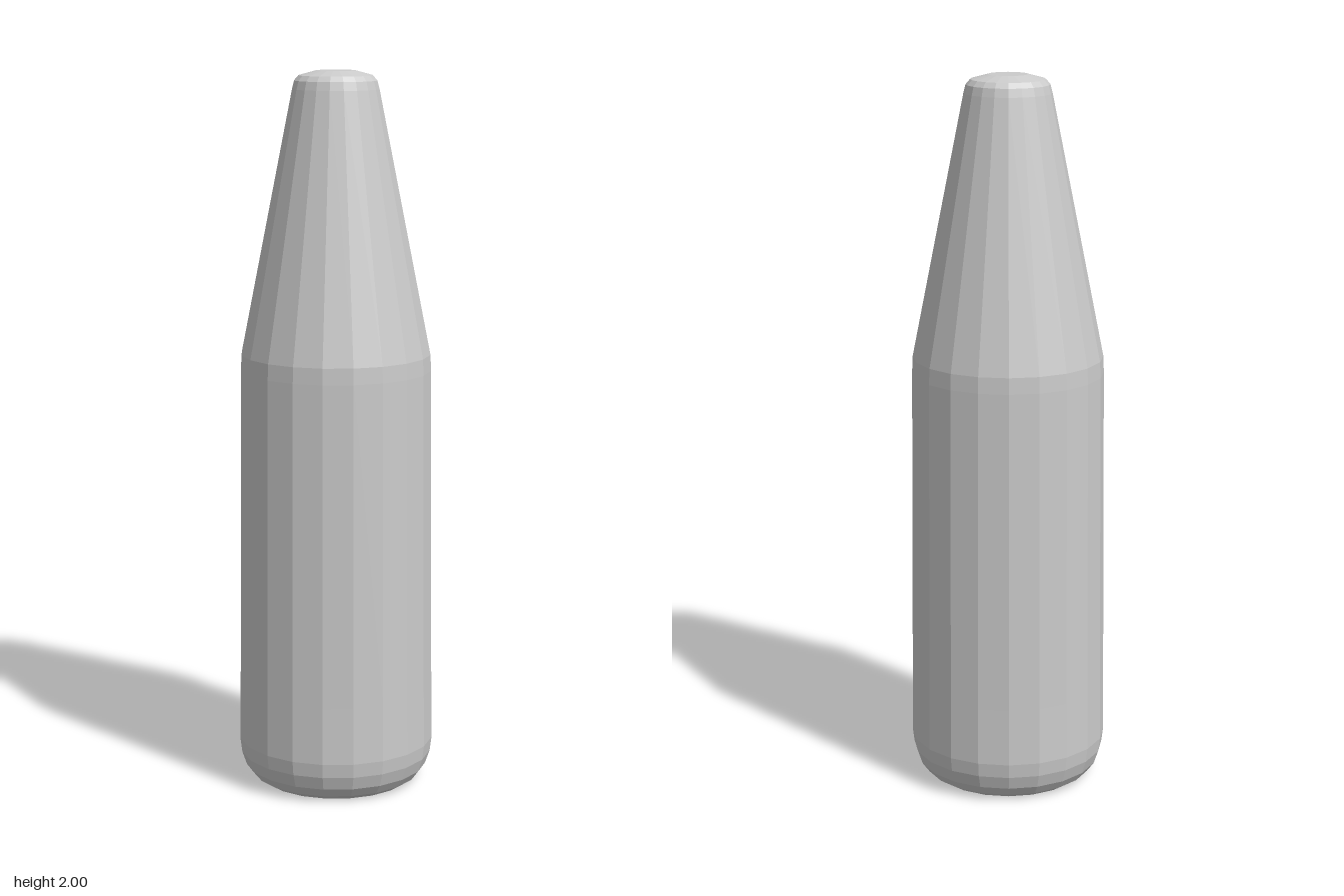
import * as THREE from 'three';

const SIDES = 20;

// Faceted body of revolution; flats face the x and z axes
function turned(name, profile, material) {
  const points = profile.map(([r, y]) => new THREE.Vector2(r, y));
  const geometry = new THREE.LatheGeometry(points, SIDES, Math.PI / SIDES);
  const mesh = new THREE.Mesh(geometry, material);
  mesh.name = name;
  return mesh;
}

export function createModel() {
  const model = new THREE.Group();
  model.name = 'taperedBottle';
  const grey = new THREE.MeshStandardMaterial({ color: 0xcccccc, flatShading: true });

  // Flat underside with a rounded rim
  model.add(turned('base', [
    [0, 0], [0.215, 0], [0.238, 0.015], [0.258, 0.042], [0.271, 0.08], [0.276, 0.12],
  ], grey));

  // Nearly straight body
  model.add(turned('body', [
    [0.276, 0.12], [0.274, 0.28], [0.266, 1.18], [0.264, 1.225],
  ], grey));

  // Long conical shoulder
  model.add(turned('shoulder', [
    [0.264, 1.225], [0.12, 1.95],
  ], grey));

  // Softened, closed tip
  model.add(turned('tip', [
    [0.12, 1.95], [0.114, 1.973], [0.102, 1.987], [0.054, 2], [0, 2],
  ], grey));

  return model;
}
